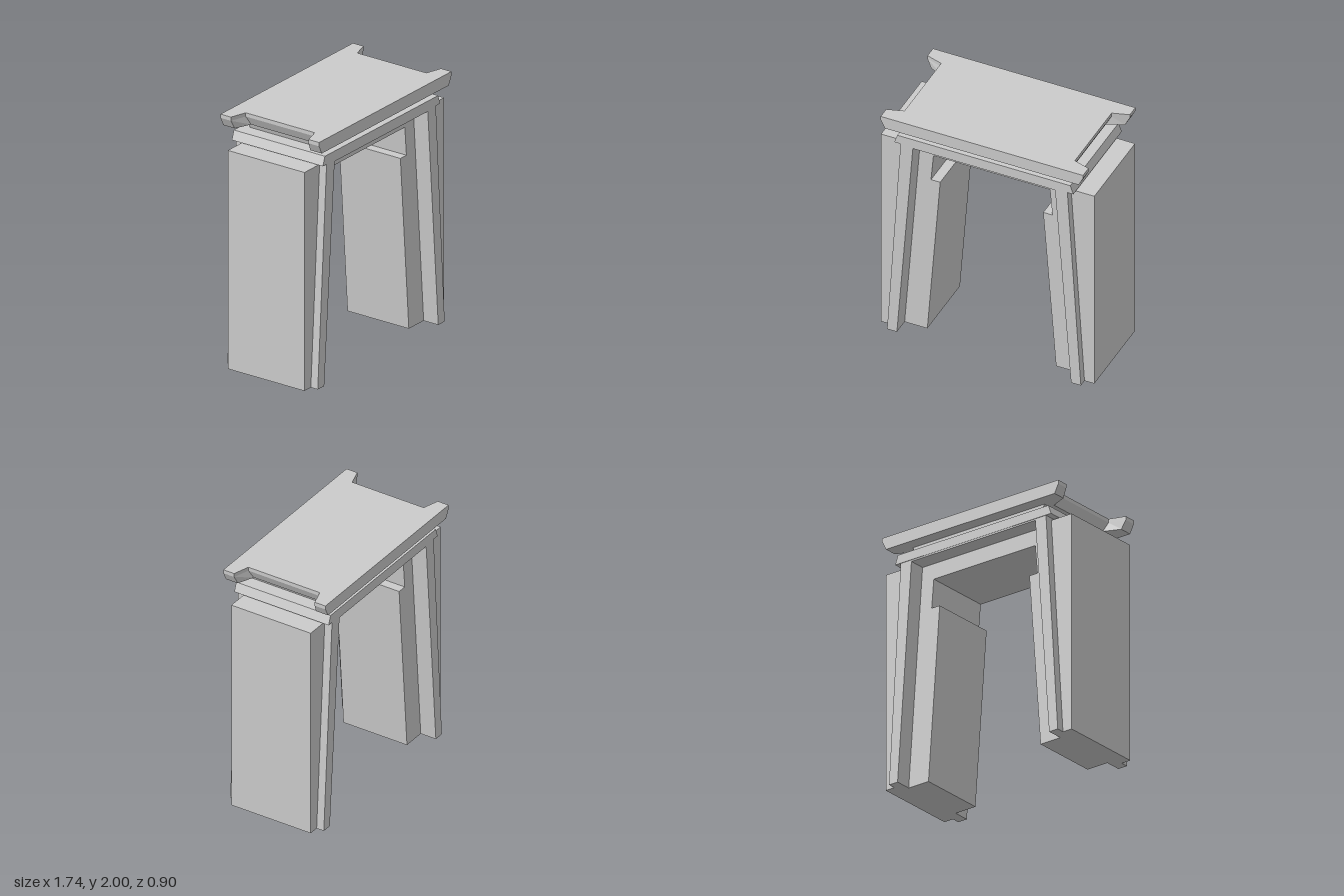
import * as THREE from 'three';

const material = new THREE.MeshStandardMaterial({ color: 0xcccccc, flatShading: true });

const flip = (points) => points.map(([x, y]) => [-x, y]).reverse();
const mirrored = (half) => [...half, ...flip(half)];
const toShape = (points) => new THREE.Shape(points.map(([x, y]) => new THREE.Vector2(x, y)));

function addMesh(group, name, geometry) {
  const mesh = new THREE.Mesh(geometry, material);
  mesh.name = name;
  group.add(mesh);
}

// Front outline extruded through the depth, centred on z = 0
function addProfile(group, name, points, halfDepth) {
  const geometry = new THREE.ExtrudeGeometry(toShape(points), { depth: 2 * halfDepth, bevelEnabled: false });
  geometry.translate(0, 0, -halfDepth);
  addMesh(group, name, geometry);
}

// Top slab: notched ends, with horn tips and notches cut back below the rim
function capGeometry() {
  const topY = 2, rimY = 1.97, bottomY = 1.9;
  const tip = { x: 0.825, z: 0.355 }, tipFoot = { x: 0.79, z: 0.345 };
  const notch = { x: 0.695, z: 0.315 }, notchFoot = { x: 0.66, z: 0.29 };
  const plan = toShape(mirrored([
    [tip.x, -0.45], [tip.x, -tip.z], [notch.x, -notch.z],
    [notch.x, notch.z], [tip.x, tip.z], [tip.x, 0.45],
  ]));
  const geometry = new THREE.ExtrudeGeometry(plan, { depth: topY - bottomY, steps: 2, bevelEnabled: false });
  geometry.rotateX(-Math.PI / 2).translate(0, bottomY, 0);
  const p = geometry.attributes.position;
  for (let i = 0; i < p.count; i++) {
    const x = p.getX(i), y = p.getY(i), z = p.getZ(i);
    if (Math.abs(y - 1.95) < 0.01) p.setY(i, rimY);
    if (y < 1.91) {
      const foot = Math.abs(x) > 0.8 ? tipFoot : notchFoot;
      p.setX(i, Math.sign(x) * foot.x);
      if (Math.abs(z) < 0.4) p.setZ(i, Math.sign(z) * foot.z);
    }
  }
  geometry.computeVertexNormals();
  return geometry;
}

export function createModel() {
  const group = new THREE.Group();
  group.name = 'gateway';

  // Outer piers, square outside and following the frame inside
  const pier = [[0.63, 1.75], [0.75, 0], [0.87, 0], [0.87, 1.75]];
  addProfile(group, 'leftPier', pier, 0.35);
  addProfile(group, 'rightPier', flip(pier), 0.35);

  // Recessed tapering jambs joined by the lintel
  addProfile(group, 'jambsAndLintel', mirrored([
    [0.475, 1.63], [0.495, 1.4], [0.42, 1.4], [0.525, 0], [0.75, 0], [0.63, 1.76],
  ]), 0.28);

  // Raised door frame standing proud of both faces
  addProfile(group, 'doorFrame', mirrored([
    [0.58, 1.755], [0.71, 0], [0.79, 0], [0.68, 1.768],
  ]), 0.413);

  // Cornice with sloping ends, then the narrow neck
  addProfile(group, 'cornice', mirrored([[0.73, 1.768], [0.705, 1.84]]), 0.416);
  addProfile(group, 'neck', mirrored([[0.595, 1.84], [0.615, 1.9]]), 0.35);

  addMesh(group, 'capSlab', capGeometry());
  return group;
}
